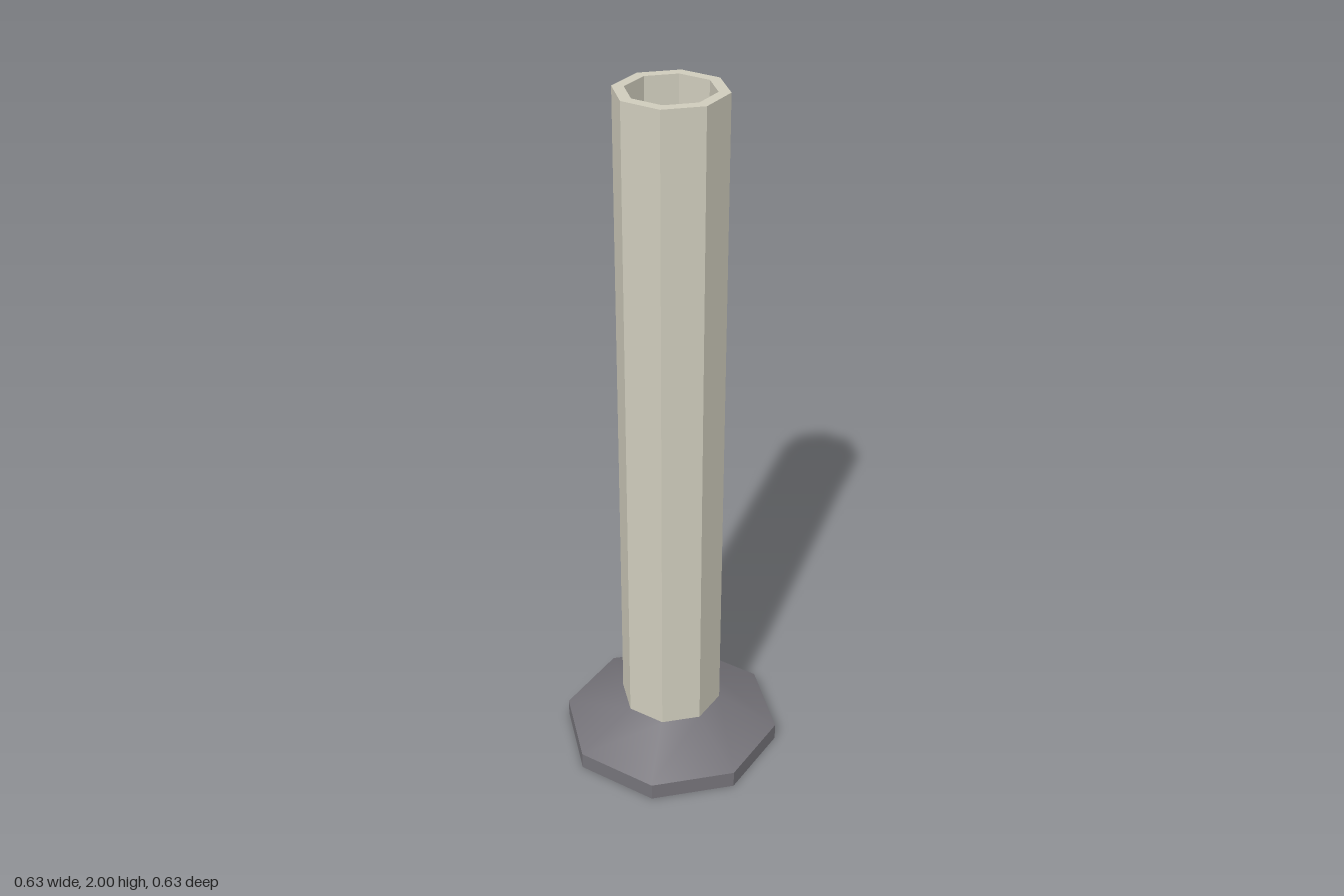
import * as THREE from 'three';

const SIDES = 8;

// Faceted eight-sided lathe; the profile runs with the outside on its right
function facetedLathe(points) {
  const profile = points.map(([r, y]) => new THREE.Vector2(r, y));
  const geometry = new THREE.LatheGeometry(profile, SIDES).toNonIndexed();
  geometry.computeVertexNormals();
  return geometry;
}

export function createModel() {
  const beige = new THREE.MeshStandardMaterial({ color: 0xcfccbc });
  beige.name = 'beige';
  const grey = new THREE.MeshStandardMaterial({ color: 0x757379 });
  grey.name = 'grey';

  const group = new THREE.Group();
  group.name = 'hollowPost';
  const add = (name, geometry, material) => {
    const mesh = new THREE.Mesh(geometry, material);
    mesh.name = name;
    group.add(mesh);
    return mesh;
  };

  // Foot: underside and low vertical rim
  add('footRim', facetedLathe([[0, 0], [0.317, 0], [0.317, 0.05]]), grey);

  // Foot: smooth-shaded slope up to the tube
  add('footSlope', new THREE.CylinderGeometry(0.146, 0.317, 0.09, SIDES, 1, true), grey)
    .position.y = 0.095;

  // Tube: outer wall, top lip, inner wall and floor
  add('tube', facetedLathe([
    [0.146, 0.14], [0.146, 2], [0.115, 2], [0.115, 0.14], [0, 0.14],
  ]), beige);

  return group;
}
